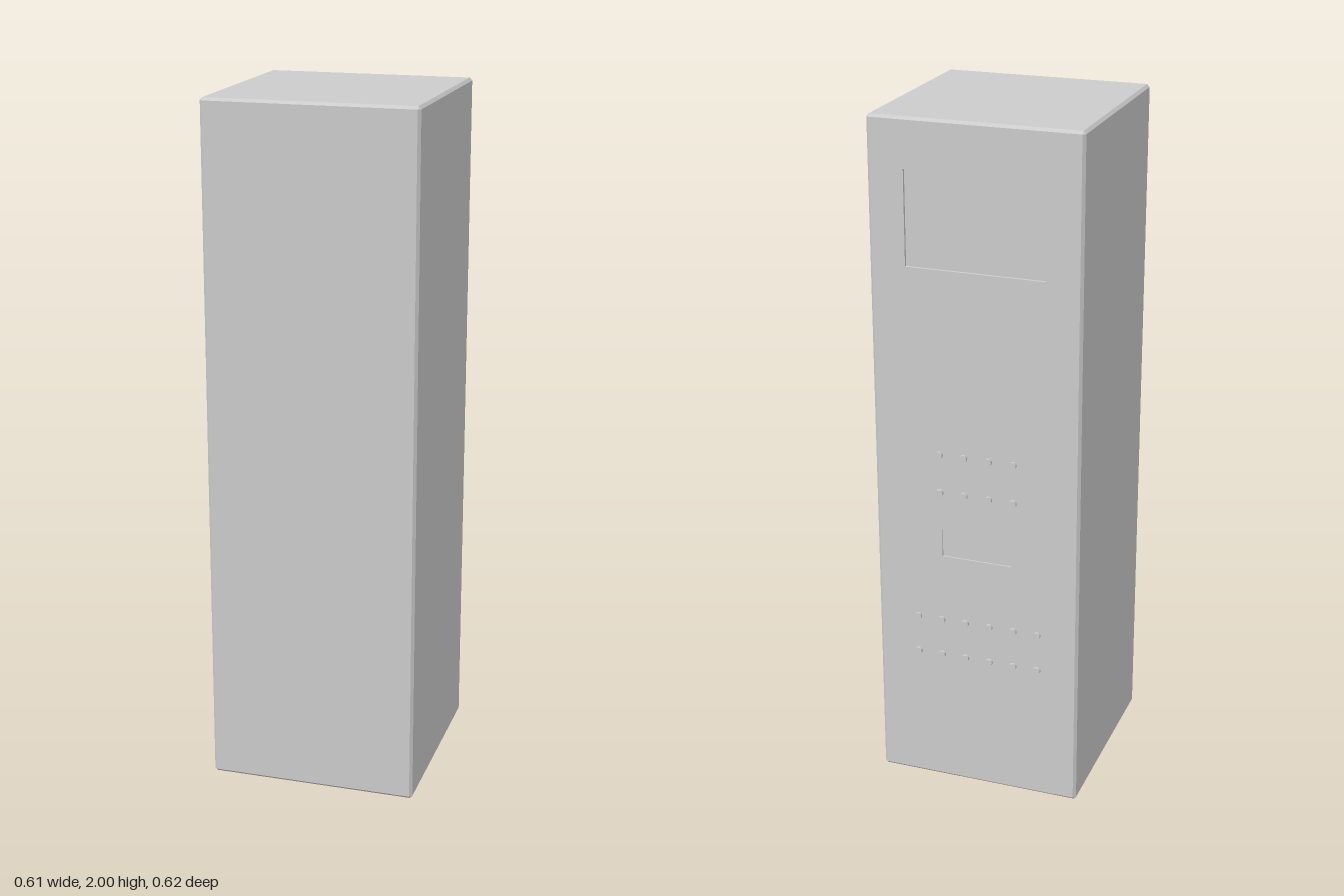
import * as THREE from 'three';
import { ConvexGeometry } from 'three/addons/geometries/ConvexGeometry.js';

const W = 0.304;      // half width
const H = 2;          // height
const BACK = -0.3;    // plane of the control face
const FRONT = 0.308;
const C = 0.008;      // chamfer

const material = new THREE.MeshStandardMaterial({ color: 0xcccccc, flatShading: true });

function add(parent, name, geometry) {
  const mesh = new THREE.Mesh(geometry, material);
  mesh.name = name;
  parent.add(mesh);
  return mesh;
}

// Cross-section of the cabinet with its four corners cut
const octagon = [
  [-W + C, 0], [W - C, 0], [W, C], [W, H - C],
  [W - C, H], [-W + C, H], [-W, H - C], [-W, C],
].map(([x, y]) => new THREE.Vector2(x, y));

const clampX = (x) => THREE.MathUtils.clamp(x, -W + C, W - C);
const clampY = (y) => THREE.MathUtils.clamp(y, C, H - C);

function rectHole(x0, x1, y0, y1) {
  return new THREE.Path([[x0, y0], [x0, y1], [x1, y1], [x1, y0]]
    .map(([x, y]) => new THREE.Vector2(x, y)));
}

export function createModel() {
  const model = new THREE.Group();
  model.name = 'controlCabinet';

  // Main body, chamfered on all edges but the back ones
  const points = [];
  for (const p of octagon) {
    points.push(new THREE.Vector3(p.x, p.y, BACK + C));
    points.push(new THREE.Vector3(p.x, p.y, FRONT - C));
  }
  for (const x of [-W + C, W - C]) {
    for (const y of [C, H - C]) points.push(new THREE.Vector3(x, y, FRONT));
  }
  add(model, 'cabinetBody', new ConvexGeometry(points));

  // Back panel with two openings; its outer face is drawn in to form the chamfer
  const panel = new THREE.Shape(octagon);
  panel.holes.push(rectHole(-0.2, 0.2, 1.59, 1.86));
  panel.holes.push(rectHole(-0.104, 0.104, 0.735, 0.82));
  const panelGeo = new THREE.ExtrudeGeometry(panel, { depth: C, bevelEnabled: false });
  const pos = panelGeo.attributes.position;
  for (let i = 0; i < pos.count; i++) {
    if (pos.getZ(i) < C / 2) pos.setXY(i, clampX(pos.getX(i)), clampY(pos.getY(i)));
  }
  panelGeo.translate(0, 0, BACK);
  panelGeo.computeVertexNormals();
  add(model, 'controlPanel', panelGeo);

  // Raised floor of the small recess
  add(model, 'slotFloor', new THREE.BoxGeometry(0.208, 0.085, 0.003))
    .position.set(0, 0.7775, BACK + C - 0.0015);

  // Rows of round buttons
  const buttons = new THREE.Group();
  buttons.name = 'buttons';
  model.add(buttons);
  const buttonGeo = new THREE.CylinderGeometry(0.011, 0.011, 0.012, 16).rotateX(-Math.PI / 2);
  for (const [y, count] of [[1.05, 4], [0.934, 4], [0.53, 6], [0.416, 6]]) {
    for (let i = 0; i < count; i++) {
      add(buttons, 'button', buttonGeo)
        .position.set((i - (count - 1) / 2) * 0.073, y, BACK - 0.003);
    }
  }
  return model;
}
